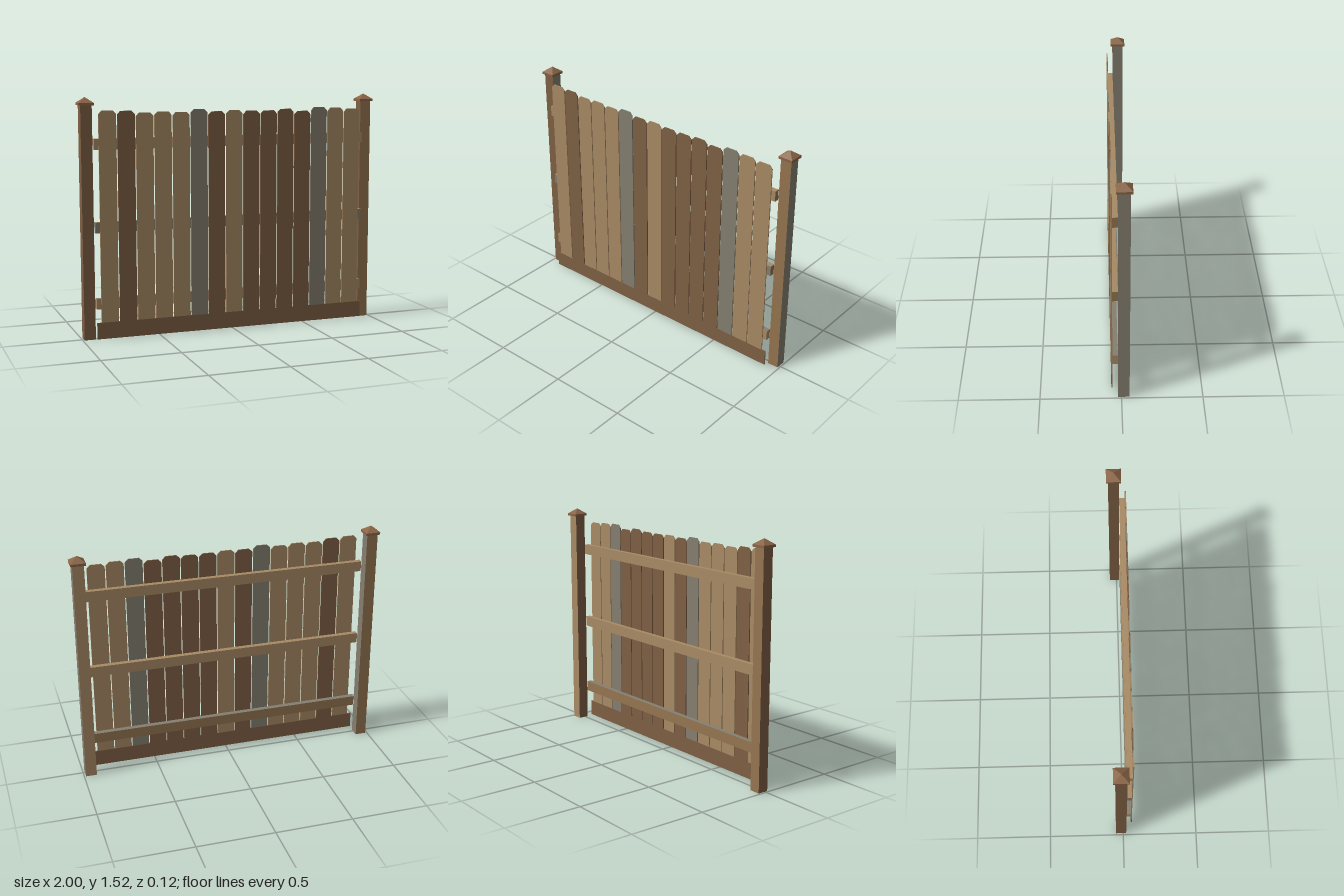
import * as THREE from 'three';

// Weathered wood tones
const wood = (color) => new THREE.MeshStandardMaterial({ color, flatShading: true });
const L = wood(0xa88a64), M = wood(0x957550), D = wood(0x7f6044), G = wood(0x857f70), C = wood(0x8a6446);

// Box spanning the given limits; material may be one tone or six (+x, -x, +y, -y, +z, -z)
function board(name, [x0, x1], [y0, y1], [z0, z1], material) {
  const mesh = new THREE.Mesh(new THREE.BoxGeometry(x1 - x0, y1 - y0, z1 - z0), material);
  mesh.position.set((x0 + x1) / 2, (y0 + y1) / 2, (z0 + z1) / 2);
  mesh.name = name;
  return mesh;
}

// Upright picket with clipped top corners
function picket(x, top, material) {
  const h = 0.056, cut = 0.021, bottom = 0.115;
  const shape = new THREE.Shape([
    [-h, bottom], [h, bottom], [h, top - cut], [h - cut, top], [cut - h, top], [-h, top - cut],
  ].map(([px, py]) => new THREE.Vector2(px, py)));
  const geometry = new THREE.ExtrudeGeometry(shape, { depth: 0.0075, bevelEnabled: false });
  const mesh = new THREE.Mesh(geometry, material);
  mesh.position.set(x, 0, 0.054);
  mesh.name = 'picket';
  return mesh;
}

// Square post with a flat plate and a pyramid cap
function post(name, x, front, back) {
  const group = new THREE.Group();
  group.name = name;
  const z = -0.0145, half = 0.047;
  group.add(board('postShaft', [x - 0.036, x + 0.036], [0, 1.475], [z - 0.035, z + 0.035],
    [G, D, M, M, front, back]));
  group.add(board('capPlate', [x - half, x + half], [1.475, 1.49], [z - half, z + half], C));
  const pyramid = new THREE.ConeGeometry(half * Math.SQRT2, 0.035, 4);
  pyramid.rotateY(Math.PI / 4);
  const cap = new THREE.Mesh(pyramid, C);
  cap.position.set(x, 1.5075, z);
  cap.name = 'capPyramid';
  group.add(cap);
  return group;
}

export function createModel() {
  const model = new THREE.Group();
  model.name = 'fencePanel';

  // End posts
  model.add(post('leftPost', 0.953, M, L), post('rightPost', -0.953, D, M));

  // Three horizontal rails
  const rails = [
    ['bottomRail', 0.2, [L, L, G, D, L, M]],
    ['middleRail', 0.684, [M, G, L, G, G, L]],
    ['topRail', 1.203, [M, L, L, D, L, L]],
  ];
  for (const [name, y, tones] of rails) {
    model.add(board(name, [-0.915, 0.915], [y, y + 0.067], [0.0205, 0.054], tones));
  }

  // Row of pickets with slightly uneven tops
  const tones = [L, D, L, L, L, G, D, L, D, D, D, D, G, L, L];
  const tops = [1.443, 1.44, 1.427, 1.432, 1.427, 1.443, 1.427, 1.432, 1.427, 1.427, 1.435, 1.42, 1.443, 1.437, 1.43];
  tones.forEach((tone, i) => model.add(picket((i - 7) * 0.1187, tops[i], tone)));

  // Kickboard below the pickets
  model.add(board('kickboard', [-0.915, 0.915], [0.01, 0.115], [0.054, 0.0615], D));

  return model;
}
